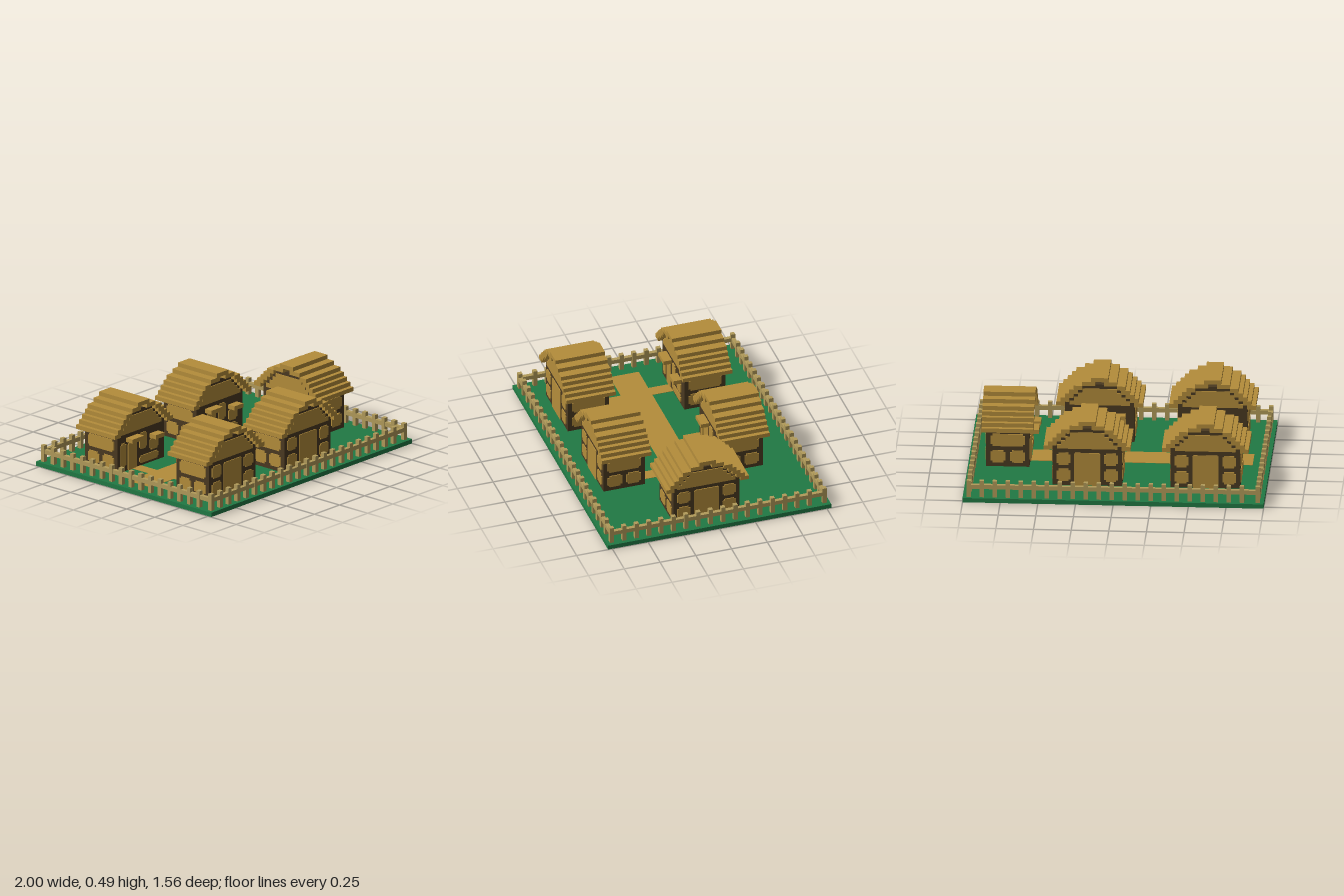
import * as THREE from 'three';

const U = 0.0288;   // block unit
const BASE = 0.03;  // ground thickness
const T = 0.006;    // thickness of painted plates

const mat = (name, color) => Object.assign(new THREE.MeshStandardMaterial({ color }), { name });

export function createModel() {
  const tan = mat('tan wood', 0xb48d3b);
  const dark = mat('dark timber', 0x4a3921);
  const pale = mat('pale fence wood', 0xb29b5a);
  const green = mat('grass green', 0x217a44);

  const model = new THREE.Group();
  model.name = 'village';

  // box given by its limits
  function box(parent, name, material, x0, x1, y0, y1, z0, z1) {
    const mesh = new THREE.Mesh(new THREE.BoxGeometry(x1 - x0, y1 - y0, z1 - z0), material);
    mesh.position.set((x0 + x1) / 2, (y0 + y1) / 2, (z0 + z1) / 2);
    mesh.name = name;
    parent.add(mesh);
    return mesh;
  }
  // box given in block units, rows counted from the top of the ground
  const block = (parent, name, m, x0, x1, r0, r1, z0, z1) =>
    box(parent, name, m, x0 * U, x1 * U, BASE + r0 * U, BASE + r1 * U, z0 * U, z1 * U);

  // thin wall panel with stepped corners, in block units
  function panel(parent, name, x0, x1, r0, r1, chip = 0.45) {
    const c = chip;
    const pts = [[x0 + c, r0], [x1 - c, r0], [x1 - c, r0 + c], [x1, r0 + c], [x1, r1 - c], [x1 - c, r1 - c],
      [x1 - c, r1], [x0 + c, r1], [x0 + c, r1 - c], [x0, r1 - c], [x0, r0 + c], [x0 + c, r0 + c]];
    const shape = new THREE.Shape(pts.map(([x, y]) => new THREE.Vector2(x * U, BASE + y * U)));
    const mesh = new THREE.Mesh(new THREE.ExtrudeGeometry(shape, { depth: T, bevelEnabled: false }), tan);
    mesh.name = name;
    parent.add(mesh);
  }

  // one wall side: local +z points outwards
  function wallSide(house, name, angle, distance) {
    const pivot = new THREE.Group();
    pivot.name = name;
    pivot.rotation.y = angle;
    house.add(pivot);
    const side = new THREE.Group();
    side.name = name + 'Panels';
    side.position.z = distance * U;
    pivot.add(side);
    return side;
  }

  function makeHouse(name, x, z, angle) {
    const house = new THREE.Group();
    house.name = name;
    house.position.set(x, 0, z);
    house.rotation.y = angle;
    model.add(house);

    // timber body and stepped gable frame
    block(house, 'timberWalls', dark, -8, 8, 0, 9, -5, 5);
    for (let r = 9; r < 14; r++) {
      const half = 17 - r;
      block(house, 'gableFrame', dark, -half, half, r, r + 1, -5, 5);
      if (r < 13) {
        const e = 5 + T / U;
        block(house, 'gablePanel', tan, -half + 1, half - 1, r, r + 1, -e, e);
      }
    }

    // stepped roof boards: [row, inner, outer]
    const boards = [[14, 1, 4], [13, 4, 6], [12, 5, 7], [11, 6, 8], [10, 7, 9], [9, 8, 10]];
    block(house, 'roofRidge', tan, -2, 2, 15, 16, -6, 6);
    for (const [r, a, b] of boards) {
      block(house, 'roofBoardLeft', tan, a, b, r, r + 1, -6, 6);
      block(house, 'roofBoardRight', tan, -b, -a, r, r + 1, -6, 6);
    }

    // back wall: tall middle panel between two stacks of panels
    const back = wallSide(house, 'backWall', Math.PI, 5);
    panel(back, 'tallPanel', -3, 3, 0, 8, 0.2);
    for (const s of [-5.5, 5.5]) {
      panel(back, 'upperPanel', s - 1.6, s + 1.6, 5, 8);
      panel(back, 'lowerPanel', s - 1.6, s + 1.6, 1, 4);
    }

    // end walls
    for (const s of [-1, 1]) {
      const end = wallSide(house, s > 0 ? 'leftWall' : 'rightWall', s * Math.PI / 2, 8);
      panel(end, 'upperPanel', -4, 4, 5, 8);
      panel(end, 'lowerPanelA', -4, -0.5, 1, 4);
      panel(end, 'lowerPanelB', 0.5, 4, 1, 4);
    }

    // front wall: door and window, each under an awning
    const front = wallSide(house, 'frontWall', 0, 5);
    panel(front, 'door', -4.5, -1.5, 0, 6.5, 0.2);
    panel(front, 'window', 3, 6, 3, 6);
    panel(front, 'sidePanel', -0.5, 2, 4, 8);
    panel(front, 'lowerPanel', -0.5, 6, 0.6, 2.4);
    panel(front, 'cornerPanel', -7, -5.2, 1, 7);
    block(front, 'doorAwning', tan, -5, -1, 7, 8, 0, 2);
    block(front, 'windowAwning', tan, 3, 6, 6, 7, 0, 2);
  }

  // ground slab with the path set right through it
  box(model, 'ground', green, -1, 1, 0, BASE, -0.78, 0.78);
  const p0 = -0.001, p1 = BASE + 0.002;
  box(model, 'mainPath', tan, -0.885, 0.585, p0, p1, -0.062, 0.14);
  for (const [x, dir] of [[-0.64, -1], [0.142, -1], [-0.612, 1], [0.288, 1]]) {
    const [za, zb] = dir < 0 ? [-0.21, -0.062] : [0.14, 0.3];
    box(model, 'sidePath', tan, x - 0.043, x + 0.043, p0, p1, za, zb);
  }

  makeHouse('houseBackRight', -0.597, -0.352, 0);
  makeHouse('houseBackLeft', 0.188, -0.352, 0);
  makeHouse('houseFrontRight', -0.597, 0.462, Math.PI);
  makeHouse('houseFrontLeft', 0.153, 0.462, Math.PI);
  makeHouse('houseEnd', 0.735, 0.053, -Math.PI / 2);

  // picket fence around the edge
  const fx = 0.96, fz = 0.743, h = U / 2, gap = 3 * U;
  const fence = new THREE.Group();
  fence.name = 'fence';
  model.add(fence);
  const post = (x, z) => box(fence, 'fencePost', pale, x - h, x + h, BASE, BASE + 4 * U, z - h, z + h);
  for (const s of [-1, 1]) {
    const ry0 = BASE + 2 * U, ry1 = BASE + 3 * U, t = h * 0.95;
    box(fence, 'longRail', pale, -fx, fx, ry0, ry1, s * fz - t, s * fz + t);
    box(fence, 'shortRail', pale, s * fx - t, s * fx + t, ry0, ry1, -fz, fz);
    for (let i = 0; i < 22; i++) post(s * (-fx + i * gap), s * fz);
    for (let i = 0; i < 17; i++) post(s * fx, s * (fz - i * gap));
  }
  return model;
}
